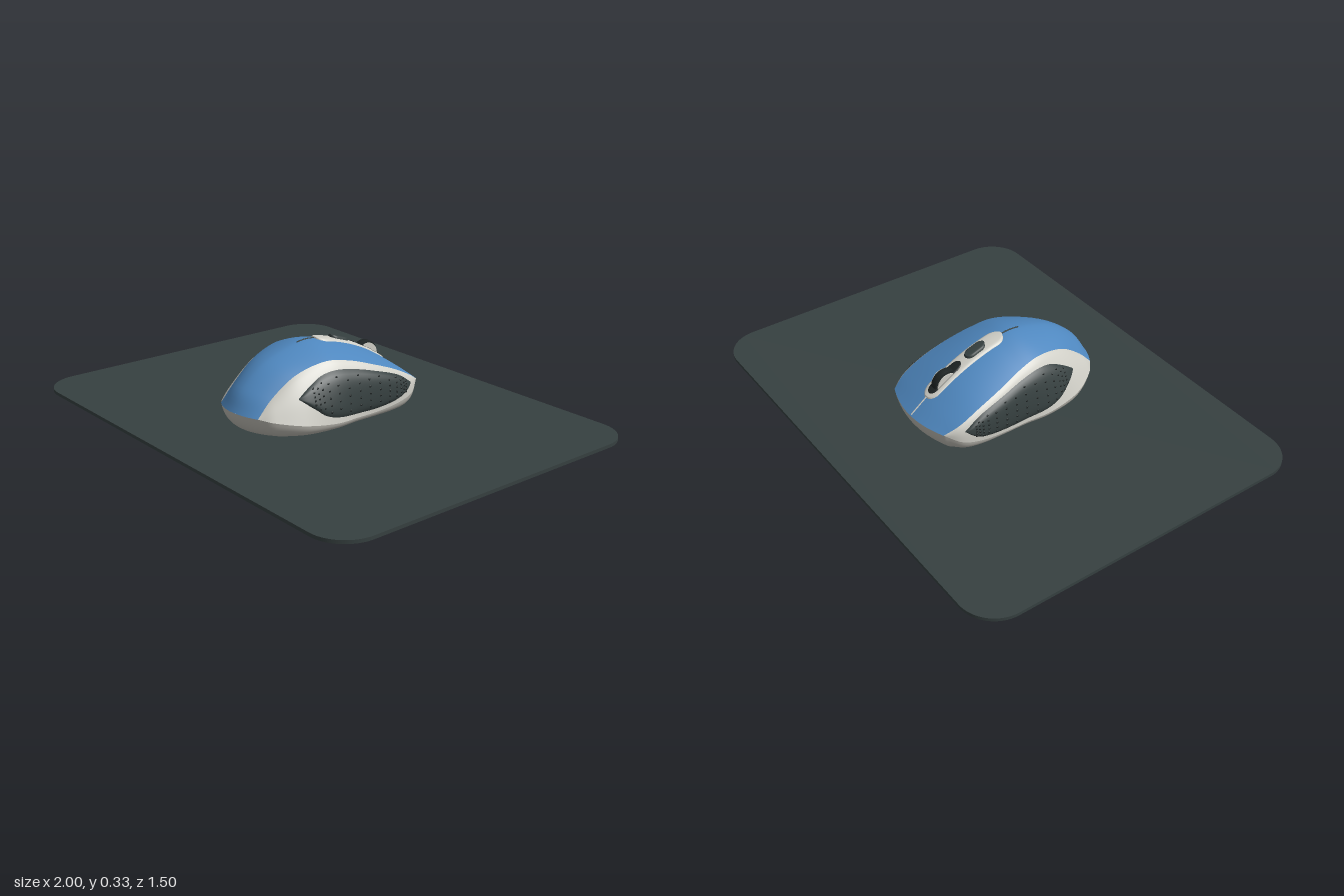
import * as THREE from 'three';
import { mergeGeometries, mergeVertices } from 'three/addons/utils/BufferGeometryUtils.js';

const mat = (color) => new THREE.MeshStandardMaterial({ color, side: THREE.DoubleSide });
const V = (x, y, z) => new THREE.Vector3(x, y, z);
const rail = (pts) => new THREE.CatmullRomCurve3(pts.map((p) => V(...p)), false, 'catmullrom', 0.5);

// Lengthwise rails, from the palm end (+z) to the button end (-z)
const spine = rail([[0, .105, .45], [0, .19, .395], [0, .275, .28], [0, .324, .11], [0, .315, 0],
  [0, .283, -.11], [0, .235, -.215], [0, .175, -.31], [0, .108, -.40]]);
const edge = rail([[.122, .10, .412], [.124, .17, .345], [.138, .245, .24], [.16, .28, .11], [.178, .265, 0],
  [.197, .23, -.11], [.205, .19, -.215], [.203, .147, -.30], [.18, .11, -.362]]);
const seam = rail([[.122, .10, .412], [.175, .088, .365], [.23, .068, .26], [.245, .048, .12], [.235, .042, 0],
  [.235, .043, -.11], [.236, .055, -.215], [.222, .075, -.30], [.18, .11, -.362]]);

// Smooth grid surface from a function of u, v in 0..1
function loft(fn, nu, nv) {
  const pos = [], idx = [];
  for (let i = 0; i <= nu; i++) {
    for (let j = 0; j <= nv; j++) {
      pos.push(...fn(i / nu, j / nv).toArray());
      if (i < nu && j < nv) {
        const a = i * (nv + 1) + j, b = a + nv + 1;
        idx.push(a, a + 1, b, b, a + 1, b + 1);
      }
    }
  }
  let g = new THREE.BufferGeometry();
  g.setAttribute('position', new THREE.Float32BufferAttribute(pos, 3));
  g.setIndex(idx);
  g = mergeVertices(g, 1e-5);
  g.computeVertexNormals();
  return g;
}

// Crowned top shell; s runs -1..1 across the width
function topPoint(t, s) {
  const c = spine.getPoint(t), e = edge.getPoint(t), a = Math.abs(s);
  return V(e.x * s, c.y + (e.y - c.y) * a ** 1.6, c.z + (e.z - c.z) * a * a);
}

// Side wall between the top edge (v = 0) and the base seam (v = 1)
function sidePoint(t, v, side, out = 0) {
  const p = edge.getPoint(t).lerp(seam.getPoint(t), v);
  p.x += 0.022 * Math.sin(Math.PI * t) * Math.sin(Math.PI * v ** 0.7) + out;
  p.x *= side;
  return p;
}

// Height of the spine at a given z
function spineY(z) {
  let a = 0, b = 1;
  for (let i = 0; i < 24; i++) {
    const m = (a + b) / 2;
    if (spine.getPoint(m).z > z) a = m; else b = m;
  }
  return spine.getPoint(a).y;
}

// Round-ended raised strip that follows the top shell
function pill(z0, z1, halfW, h) {
  return loft((u, v) => {
    const z = z0 + (z1 - z0) * (1 - Math.cos(Math.PI * u)) / 2;
    const d = Math.max(0, halfW - Math.min(z - z0, z1 - z));
    const w = Math.sqrt(Math.max(0, halfW * halfW - d * d));
    const s = Math.sin((v - 0.5) * Math.PI), x = w * s;
    const lift = w < 1e-4 ? -0.004 : -0.004 + (h + 0.004) * (1 - Math.abs(s) ** 10);
    return V(x, spineY(z) - 0.6 * Math.abs(x) ** 1.6 + lift, z);
  }, 32, 14);
}

// Interpolated outline of the grip in side-wall coordinates
const curve = (pts) => new THREE.SplineCurve(pts.map((p) => new THREE.Vector2(...p)));
const gripTop = curve([[.23, .42], [.29, .25], [.36, .14], [.54, .11], [.72, .11], [.80, .18], [.86, .36]]);
const gripLow = curve([[.23, .42], [.29, .70], [.36, .90], [.54, .94], [.72, .90], [.80, .75], [.86, .36]]);
function gripPoint(q, w, side) {
  const a = gripTop.getPoint(q), b = gripLow.getPoint(q);
  const dome = (1 - Math.abs(2 * w - 1) ** 6) * (1 - Math.abs(2 * q - 1) ** 8);
  return sidePoint(a.x, a.y + (b.y - a.y) * w, side, -0.003 + 0.014 * dome);
}

export function createModel() {
  const model = new THREE.Group();
  const mouse = new THREE.Group();
  mouse.name = 'mouse';
  model.add(mouse);
  const add = (name, geo, material, parent = mouse) => {
    const m = new THREE.Mesh(geo, material);
    m.name = name;
    parent.add(m);
    return m;
  };
  const blue = mat(0x4f88c0), grey = mat(0xcfcec6), baseGrey = mat(0xbab8b0);
  const dark = mat(0x364040), black = mat(0x1d2323);

  // Mouse pad with rounded corners
  const X = 1, Z = 0.75, R = 0.15, pad = new THREE.Shape();
  pad.absarc(X - R, Z - R, R, 0, Math.PI / 2);
  pad.absarc(R - X, Z - R, R, Math.PI / 2, Math.PI);
  pad.absarc(R - X, R - Z, R, Math.PI, Math.PI * 1.5);
  pad.absarc(X - R, R - Z, R, Math.PI * 1.5, Math.PI * 2);
  const padGeo = new THREE.ExtrudeGeometry(pad, { depth: 0.014, bevelEnabled: false, curveSegments: 16 });
  add('mousePad', padGeo.rotateX(-Math.PI / 2), dark, model);

  // Top shell
  add('topShell', loft((u, v) => topPoint(u, v * 2 - 1), 56, 32), blue);

  // Side walls, rubber grips and their dimples
  for (const side of [1, -1]) {
    const label = side > 0 ? 'left' : 'right';
    add(label + 'Side', loft((u, v) => sidePoint(u, v, side), 56, 20), grey);
    add(label + 'Grip', loft((u, v) => gripPoint(u, v, side), 48, 18), dark);
    const dots = [];
    for (let i = 0; i < 14; i++) {
      for (let j = 0; j < 5; j++) {
        const p = gripPoint(0.17 + 0.05 * i, 0.14 + 0.16 * j + (i % 2) * 0.08, side);
        dots.push(new THREE.SphereGeometry(0.005, 8, 6).scale(0.4, 1, 1).translate(p.x, p.y, p.z));
      }
    }
    add(label + 'GripDimples', mergeGeometries(dots), black);
  }

  // Base: a ring along the seam, rounded in to the floor
  const half = [];
  for (let i = 0; i < 10; i++) half.push(topPoint(0, i / 10));
  for (let i = 0; i <= 56; i++) half.push(seam.getPoint(i / 56));
  for (let i = 9; i >= 0; i--) half.push(topPoint(1, i / 10));
  const ring = [...half, ...half.slice(0, -1).reverse().map((p) => V(-p.x, p.y, p.z))];
  const n = ring.length - 1;
  add('base', loft((u, v) => {
    const p = ring[Math.round(u * n)];
    const mid = V(p.x * 0.98, 0.014 + (p.y - 0.014) * 0.15, p.z * 0.97);
    const floor = V(p.x * 0.83, 0.012, p.z * 0.83);
    return new THREE.QuadraticBezierCurve3(p, mid, floor).getPoint(v);
  }, n, 10), baseGrey);

  // Centre console, wheel slot, button and split lines
  add('console', pill(-0.325, 0.04, 0.043, 0.007), grey);
  add('wheelSlot', pill(-0.31, -0.16, 0.029, 0.010), black);
  add('consoleButton', pill(-0.135, -0.045, 0.027, 0.018), dark);
  add('frontSplit', pill(-0.397, -0.32, 0.003, 0.003), grey);
  add('rearSplit', pill(0.035, 0.125, 0.003, 0.003), dark);

  // Scroll wheel: dark tyre between two grey rims
  const wheel = new THREE.Group();
  wheel.name = 'scrollWheel';
  wheel.position.set(0, 0.2, -0.23);
  mouse.add(wheel);
  const tyre = [[0, -.019], [.054, -.019], [.06, -.013], [.06, .013], [.054, .019], [0, .019]];
  add('tyre', new THREE.LatheGeometry(tyre.map((p) => new THREE.Vector2(...p)), 40).rotateZ(Math.PI / 2), black, wheel);
  for (const s of [1, -1]) {
    const rim = new THREE.CylinderGeometry(0.052, 0.052, 0.005, 40).rotateZ(Math.PI / 2);
    add('rim', rim, grey, wheel).position.x = s * 0.021;
  }
  return model;
}
